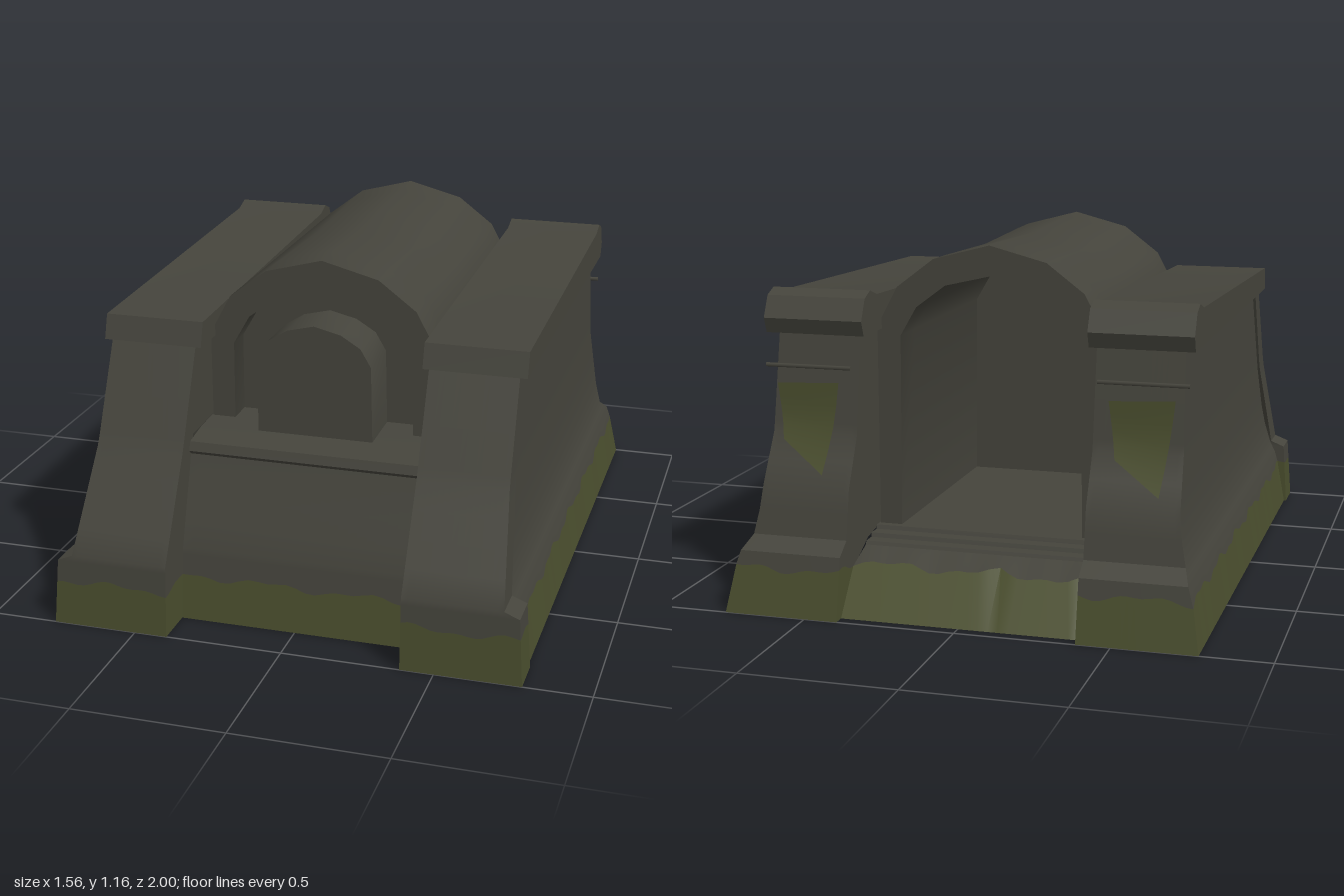
import * as THREE from 'three';
import { toCreasedNormals } from 'three/addons/utils/BufferGeometryUtils.js';

const stone = new THREE.MeshStandardMaterial({ color: 0x45443c, side: THREE.DoubleSide });
stone.name = 'dark stone';
const moss = new THREE.MeshStandardMaterial({ color: 0x4a4e2e, side: THREE.DoubleSide });
moss.name = 'moss green';

// Piecewise linear profile: pairs of [height, value]
const profile = (...pts) => (y) => {
  if (y <= pts[0][0]) return pts[0][1];
  for (let i = 1; i < pts.length; i++) {
    const [y0, v0] = pts[i - 1], [y1, v1] = pts[i];
    if (y <= y1) return v0 + ((v1 - v0) * (y - y0)) / (y1 - y0);
  }
  return pts[pts.length - 1][1];
};

const frontZ = profile([0, 1], [0.24, 0.985], [0.57, 0.8], [0.88, 0.66]);
const backZ = profile([0, -1], [0.2, -0.96], [0.24, -0.9], [0.4, -0.87], [0.56, -0.79], [0.88, -0.74]);
const pierX = profile([0, 0.78], [0.22, 0.765], [0.24, 0.715], [0.57, 0.685], [0.88, 0.68]);
const wallX = profile([0, 0.772], [0.1, 0.76], [0.2, 0.73], [0.24, 0.71], [0.32, 0.694], [0.4, 0.685], [0.57, 0.677], [0.88, 0.67]);
const pierBackZ = (y) => frontZ(y) - profile([0, 0.13], [0.24, 0.115], [0.88, 0.08])(y);
const apronZ = profile([0, 0.86], [0.24, 0.83], [0.42, 0.77], [0.53, 0.73]);
const thresholdZ = profile([0, -0.96], [0.16, -0.83], [0.18, -0.73]);
const INNER = 0.39;
const ROWS = [0.2, 0.22, 0.24, 0.32, 0.4, 0.48, 0.56, 0.595, 0.6, 0.72, 0.88];

function mesh(name, geometry, material = stone) {
  const m = new THREE.Mesh(geometry, material);
  m.name = name;
  return m;
}

// Grid of faces between rows of points
function grid(rows) {
  const pos = [], idx = [], n = rows[0].length;
  rows.forEach((r) => r.forEach((p) => pos.push(...p)));
  for (let j = 0; j + 1 < rows.length; j++) {
    for (let i = 0; i + 1 < n; i++) {
      const a = j * n + i, b = a + 1, c = a + n, d = c + 1;
      idx.push(a, b, d, a, d, c);
    }
  }
  const g = new THREE.BufferGeometry();
  g.setAttribute('position', new THREE.Float32BufferAttribute(pos, 3));
  g.setIndex(idx);
  return toCreasedNormals(g, 0.5);
}

// Ragged upper limit of the moss
const mossTop = ([x, , z]) => 0.15 + 0.009 * Math.sin(19 * (x + z)) + 0.006 * Math.sin(43 * (x - z) + 1);

// Wall face from point(u, y), moss below and stone above
function mossyWall(name, point, top = 0.88, cols = 16) {
  const g = new THREE.Group();
  g.name = name;
  const us = Array.from({ length: cols + 1 }, (_, i) => i / cols);
  const at = (y) => us.map((u) => point(u, y));
  const edge = us.map((u) => point(u, mossTop(point(u, 0.15))));
  const ys = ROWS.filter((y) => y < top - 0.001).concat(top);
  g.add(mesh(name + 'Moss', grid([at(0), edge]), moss));
  g.add(mesh(name + 'Stone', grid([edge, ...ys.map(at)])));
  return g;
}

// Extrusion of a [z, y] outline across x
function across(pts, x0, x1) {
  const s = new THREE.Shape(pts.map(([z, y]) => new THREE.Vector2(-z, y)));
  const g = new THREE.ExtrudeGeometry(s, { depth: x1 - x0, bevelEnabled: false });
  g.rotateY(Math.PI / 2);
  g.translate(x0, 0, 0);
  return toCreasedNormals(g, 0.6);
}

// Closed arch outline from the right half, bottom to crown
const archPoints = (half) => [
  ...half,
  ...half.slice(0, -1).reverse().map(([x, y]) => [-x, y]),
].map(([x, y]) => new THREE.Vector2(x, y));

function arch(half, z0, z1, hole, steps = 1) {
  const s = new THREE.Shape(archPoints(half));
  if (hole) s.holes.push(new THREE.Path(archPoints(hole)));
  const g = new THREE.ExtrudeGeometry(s, { depth: z1 - z0, bevelEnabled: false, steps });
  g.translate(0, 0, z0);
  return g;
}

const mix = (a, b, u) => a + (b - a) * u;

function createSide(s) {
  const side = new THREE.Group();
  side.name = s > 0 ? 'leftSide' : 'rightSide';
  const add = (name, f, cols) =>
    side.add(mossyWall(name, (u, y) => { const [x, z] = f(u, y); return [s * x, y, z]; }, 0.88, cols));
  // Front pier, flared outer wall and rear pier
  add('pierFront', (u, y) => [mix(INNER, pierX(y), u), frontZ(y)]);
  add('pierOuter', (u, y) => [pierX(y), mix(frontZ(y), pierBackZ(y), u)], 6);
  add('pierReturn', (u, y) => [mix(pierX(y), wallX(y), u), pierBackZ(y)], 1);
  add('outerWall', (u, y) => [wallX(y), mix(pierBackZ(y), backZ(y), u)], 60);
  add('rearPier', (u, y) => [mix(INNER, wallX(y), u), backZ(y)]);
  add('pierInner', (u, y) => [INNER, mix(frontZ(y), y < 0.598 ? apronZ(y) - 0.02 : 0.5, u)], 6);
  add('rearPierInner', (u, y) => [INNER, mix(backZ(y), y < 0.21 ? thresholdZ(y) + 0.02 : -0.58, u)], 6);

  // Coping slab ending in a rounded roll
  const coping = [[0.665, 0.88], [0.64, 0.96], [-0.64, 1.0], [-0.7, 1.02], [-0.75, 1.0], [-0.785, 0.93], [-0.765, 0.88]];
  side.add(mesh('coping', across(coping, s > 0 ? 0.37 : -0.705, s > 0 ? 0.705 : -0.37)));

  // Banner and its rod on the rear pier
  const rod = mesh('bannerRod', new THREE.CylinderGeometry(0.007, 0.007, 0.29, 6));
  rod.rotation.z = Math.PI / 2;
  rod.position.set(s * 0.55, 0.78, -0.795);
  side.add(rod);
  const hang = (x, y) => [s * 0.55 + x, y, Math.min(backZ(y) - 0.012, -0.79)];
  const cloth = [0, 0.25, 0.5, 0.75, 1].map((v) => [hang(mix(-0.1, -0.065, v), mix(0.73, 0.44, v)), hang(mix(0.11, 0.085, v), mix(0.72, 0.54, v))]);
  side.add(mesh('banner', grid(cloth), moss));
  return side;
}

export function createModel() {
  const model = new THREE.Group();
  model.name = 'stoneVault';
  model.add(createSide(1), createSide(-1));

  // Sloped front apron with a projecting sill
  model.add(mossyWall('apron', (u, y) => [mix(-INNER, INNER, u), y, apronZ(y)], 0.54, 24));
  model.add(mesh('sill', across([[0.73, 0.535], [0.745, 0.55], [0.735, 0.58], [0.63, 0.595], [0.43, 0.6], [0.43, 0.57]], -INNER, INNER)));

  // Barrel vault, slightly sagging along its crown
  const outer = [[0.385, 0.2], [0.385, 0.89], [0.315, 1.02], [0.19, 1.115], [0, 1.165]];
  const opening = [[0.31, 0.205], [0.305, 0.86], [0.25, 0.955], [0.15, 1.03], [0, 1.065]];
  const vault = arch(outer, -0.6, 0.53, opening, 8);
  const p = vault.attributes.position;
  for (let i = 0; i < p.count; i++) {
    if (p.getY(i) > 1.1) p.setY(i, p.getY(i) - 0.015 * Math.max(0, 1 - Math.abs(p.getZ(i) + 0.03) / 0.5));
  }
  model.add(mesh('barrelVault', toCreasedNormals(vault, 0.6)));

  // Front niche back and the arched block within it
  const nicheHalf = [[0.31, 0.59], ...opening.slice(1)];
  model.add(mesh('nicheBack', arch(nicheHalf, 0.42, 0.44)));
  const blockHalf = [[0.195, 0.59], [0.19, 0.85], [0.155, 0.91], [0.09, 0.95], [0, 0.972]];
  model.add(mesh('nicheBlock', toCreasedNormals(arch(blockHalf, 0.43, 0.62), 0.6)));

  // Chamber end wall and floor
  model.add(mesh('chamberEnd', arch(opening, 0.23, 0.25)));
  const floor = mesh('chamberFloor', new THREE.BoxGeometry(0.78, 0.02, 0.85));
  floor.position.set(0, 0.21, -0.19);
  model.add(floor);

  // Rear threshold slope and shallow steps
  model.add(mossyWall('threshold', (u, y) => [mix(-INNER, INNER, u), y, thresholdZ(y)], 0.18, 24));
  const stairs = [[-0.73, 0.18], [-0.725, 0.192], [-0.68, 0.192], [-0.675, 0.206], [-0.63, 0.206], [-0.625, 0.22], [-0.6, 0.22]];
  model.add(mesh('steps', grid(stairs.map(([z, y]) => [[-INNER, y, z], [INNER, y, z]]))));
  return model;
}
